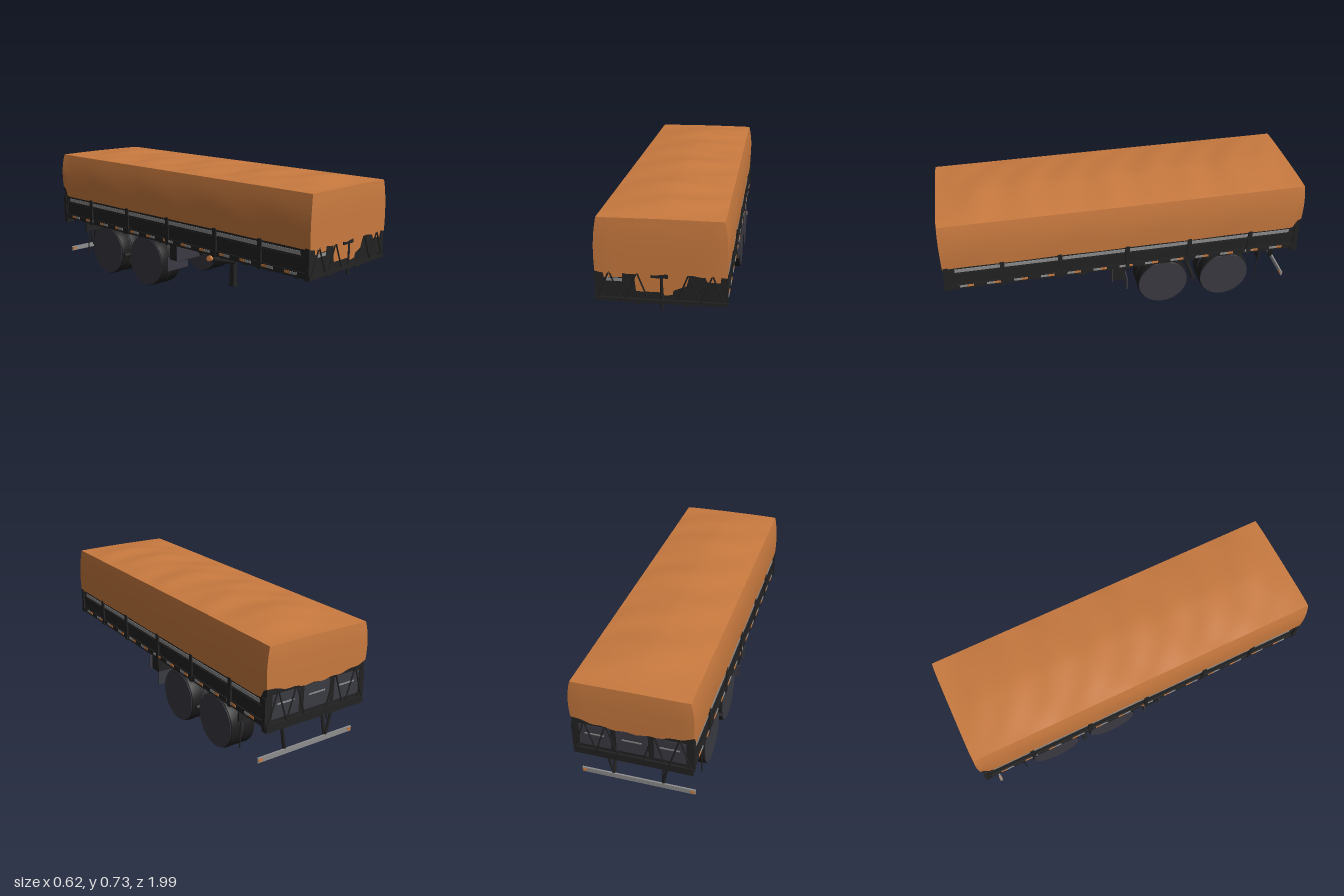
import * as THREE from 'three';
import { mergeVertices, toCreasedNormals } from 'three/addons/utils/BufferGeometryUtils.js';

const mat = (name, color, side = THREE.FrontSide) => {
  const m = new THREE.MeshStandardMaterial({ color, side });
  m.name = name;
  return m;
};

export function createModel() {
  const canvas = mat('orange canvas', 0xc97a3f, THREE.DoubleSide);
  const black = mat('black steel', 0x232323);
  const rubber = mat('tyre rubber', 0x1e1e1e);
  const slate = mat('slate grey', 0x3b3a43);
  const grey = mat('bare metal', 0x8e8e8e);
  const root = new THREE.Group();
  root.name = 'coveredTrailer';

  const add = (name, geo, m, x = 0, y = 0, z = 0, parent = root) => {
    const mesh = new THREE.Mesh(geo, m);
    mesh.name = name;
    mesh.position.set(x, y, z);
    parent.add(mesh);
    return mesh;
  };
  // box given by its limits
  const box = (name, m, x0, x1, y0, y1, z0, z1, parent = root) =>
    add(name, new THREE.BoxGeometry(x1 - x0, y1 - y0, z1 - z0), m,
      (x0 + x1) / 2, (y0 + y1) / 2, (z0 + z1) / 2, parent);
  // round bar between two points
  const bar = (name, m, a, b, r, sides = 8) => {
    const p = new THREE.Vector3(...a), q = new THREE.Vector3(...b);
    const mesh = add(name, new THREE.CylinderGeometry(r, r, p.distanceTo(q), sides), m);
    mesh.position.copy(p).lerp(q, 0.5);
    mesh.quaternion.setFromUnitVectors(new THREE.Vector3(0, 1, 0), q.sub(p).normalize());
  };
  const smooth = THREE.MathUtils.smoothstep;

  // Tarpaulin: an open-bottomed box with low ridge, leaning walls and folds
  const cover = new THREE.BoxGeometry(2, 1, 2, 24, 8, 90);
  const bottom = cover.groups[3];
  const index = Array.from(cover.index.array);
  index.splice(bottom.start, bottom.count);
  cover.setIndex(index);
  cover.clearGroups();
  cover.deleteAttribute('normal');
  cover.deleteAttribute('uv');
  const pos = cover.attributes.position;
  for (let i = 0; i < pos.count; i++) {
    const u = pos.getX(i), v = pos.getY(i) + 0.5, w = pos.getZ(i);
    const rear = smooth(-w, 0.95, 0.99);
    const hem = 0.438 + rear * (0.025 + 0.035 * u * u)
      + 0.004 * Math.sin(u * 17) * smooth(Math.abs(w), 0.97, 1);
    const inner = (1 - u ** 4) * (1 - w ** 8);
    const folds = 0.004 * Math.sin(w * 16 + u * 1.5) + 0.0025 * Math.sin(w * 27 - u * 2.4 + u * u * 3);
    const top = 0.702 + 0.025 * (1 - Math.abs(u) ** 1.5) * (0.1 + 0.9 * smooth(1 - Math.abs(w), 0, 0.25))
      + folds * inner;
    const half = 0.306 + 0.004 * Math.sin(v * Math.PI * 0.9) - 0.014 * v ** 3
      + 0.0015 * Math.sin(w * 13 + v * 4) * (1 - v);
    const length = 0.996 - 0.006 * v ** 4 - 0.004 * u ** 8;
    pos.setXYZ(i, u * half, hem + (top - hem) * v, w * length);
  }
  add('tarpaulin', toCreasedNormals(mergeVertices(cover), 0.75), canvas);

  // Load bed: floor, walls and end boards
  box('floor', black, -0.295, 0.295, 0.3, 0.325, -0.98, 0.98);
  box('frontBoard', black, -0.3, 0.3, 0.295, 0.445, 0.97, 0.985);
  box('tailgate', black, -0.3, 0.3, 0.29, 0.5, -0.985, -0.97);
  for (const s of [-1, 1]) {
    const side = new THREE.Group();
    side.name = s > 0 ? 'leftSide' : 'rightSide';
    root.add(side);
    const sideBox = (name, m, x0, x1, ...r) =>
      box(name, m, Math.min(s * x0, s * x1), Math.max(s * x0, s * x1), ...r, side);
    sideBox('sideBoard', black, 0.285, 0.3, 0.32, 0.45, -0.98, 0.98);
    sideBox('lowerRail', black, 0.27, 0.306, 0.295, 0.324, -0.99, 0.99);
    sideBox('upperRail', black, 0.29, 0.304, 0.385, 0.398, -0.97, 0.97);
    sideBox('upperStrip', grey, 0.298, 0.303, 0.406, 0.426, -0.93, 0.93);
    for (const z of [-0.975, -0.7, -0.35, 0, 0.37, 0.68, 0.975])
      sideBox('post', black, 0.285, 0.31, 0.29, 0.445, z - 0.012, z + 0.012);
    sideBox('rearCornerPost', black, 0.28, 0.303, 0.29, 0.5, -0.987, -0.955);
    for (let i = 0; i < 13; i++) {
      const z = -0.9 + i * 0.145;
      sideBox('marker', canvas, 0.305, 0.309, 0.306, 0.319, z, z + 0.035);
      sideBox('paleMarker', grey, 0.305, 0.309, 0.306, 0.319, z + 0.035, z + 0.075);
    }
  }

  // Front: loose canvas hanging below the hem, metal patch and coupling post
  const loose = [
    [[-0.125, 0.445], [-0.115, 0.348], [0.012, 0.348], [0.018, 0.333], [0.055, 0.338], [0.06, 0.36],
      [0.12, 0.385], [0.135, 0.445]],
    [[-0.27, 0.445], [-0.265, 0.41], [-0.18, 0.415], [-0.175, 0.445]],
    [[0.2, 0.445], [0.215, 0.41], [0.275, 0.408], [0.28, 0.445]],
  ];
  for (const outline of loose)
    add('looseCanvas', new THREE.ShapeGeometry(new THREE.Shape(outline.map(p => new THREE.Vector2(...p)))),
      canvas, 0, 0, 0.987);
  box('frontMetalPatch', grey, -0.255, -0.18, 0.393, 0.409, 0.985, 0.987);
  box('frontSill', black, -0.31, 0.31, 0.295, 0.312, 0.97, 0.996);
  bar('frontPost', black, [0.005, 0.265, 0.985], [0.005, 0.43, 0.985], 0.008);
  box('hosePlate', black, -0.045, 0.035, 0.42, 0.445, 0.986, 0.993);

  // Rear: panels with metal strips
  for (const x of [-0.19, 0, 0.19]) {
    box('tailgatePanel', slate, x - 0.08, x + 0.08, 0.33, 0.455, -0.988, -0.985);
    box('tailgateStrip', grey, x - 0.05, x + 0.05, 0.4, 0.408, -0.99, -0.988);
  }
  box('rearSill', black, -0.305, 0.305, 0.27, 0.31, -0.995, -0.96);

  // Lashing ropes in V shapes on both ends
  for (const z of [-0.992, 0.992])
    for (const x of [-0.24, -0.11, 0.13, 0.24])
      for (const d of [-0.055, 0.055])
        bar('lashing', black, [x, z < 0 ? 0.48 : 0.445, z], [x + d, 0.305, z], 0.004, 5);

  // Chassis beams and cross members
  for (const s of [-1, 1]) {
    const beam = (name, x, half, ...r) => box(name, black, s * x - half, s * x + half, ...r);
    beam('chassisBeam', 0.115, 0.015, 0.255, 0.3, -0.97, 0.62);
    beam('rearBeam', 0.115, 0.015, 0.215, 0.26, -0.72, 0.1);
    beam('neckBeam', 0.115, 0.015, 0.275, 0.3, 0.6, 0.97);
    beam('equipmentBox', 0.225, 0.07, 0.205, 0.295, 0.01, 0.08);
  }
  for (let i = 0; i < 12; i++) {
    const z = -0.9 + i * 0.163;
    box('crossMember', black, -0.285, 0.285, 0.282, 0.302, z - 0.01, z + 0.01);
  }
  box('couplingPlate', black, -0.13, 0.13, 0.275, 0.285, 0.55, 0.85);
  bar('kingpin', black, [0, 0.26, 0.7], [0, 0.28, 0.7], 0.02, 12);

  // Landing leg and drawn-up strut
  box('landingLeg', black, -0.015, 0.015, 0.04, 0.25, 0.205, 0.235);
  box('legHousing', black, -0.035, 0.035, 0.2, 0.28, 0.195, 0.245);
  box('legFoot', black, -0.018, 0.018, 0.033, 0.045, 0.2, 0.24);
  bar('strut', black, [-0.21, 0.24, 0.25], [-0.03, 0.19, 0.25], 0.016);
  bar('strutEnd', canvas, [-0.23, 0.245, 0.25], [-0.21, 0.24, 0.25], 0.0155);

  // Wheels: lathe tyre with a broad slate disc on both faces
  const tyreProfile = [[0.1, -0.036], [0.138, -0.036], [0.144, -0.03], [0.146, -0.015],
    [0.146, 0.015], [0.144, 0.03], [0.138, 0.036], [0.1, 0.036]].map(p => new THREE.Vector2(...p));
  const tyreGeo = toCreasedNormals(new THREE.LatheGeometry(tyreProfile, 36), 0.6);
  const discGeo = new THREE.CylinderGeometry(0.14, 0.14, 0.0735, 36);
  const wheel = (name, x, y, z) => {
    const g = new THREE.Group();
    g.name = name;
    g.position.set(x, y, z);
    root.add(g);
    add('tyre', tyreGeo, rubber, 0, 0, 0, g);
    add('disc', discGeo, slate, 0, 0, 0, g);
    return g;
  };
  for (const z of [-0.21, -0.57]) {
    for (const x of [-0.252, -0.175, 0.189, 0.266]) wheel('wheel', x, 0.152, z).rotation.z = Math.PI / 2;
    bar('axle', black, [-0.22, 0.165, z], [0.22, 0.165, z], 0.022, 12);
    for (const s of [-1, 1]) {
      const spring = new THREE.QuadraticBezierCurve3(
        new THREE.Vector3(s * 0.115, 0.19, z - 0.16),
        new THREE.Vector3(s * 0.115, 0.14, z),
        new THREE.Vector3(s * 0.115, 0.19, z + 0.16));
      add('leafSpring', new THREE.TubeGeometry(spring, 12, 0.013, 6), black);
      for (const d of [-0.16, 0.16])
        box('springHanger', black, s * 0.115 - 0.015, s * 0.115 + 0.015, 0.17, 0.23, z + d - 0.02, z + d + 0.02);
    }
  }
  wheel('spareWheel', 0, 0.27, -0.82).scale.set(0.82, 0.6, 0.82);
  bar('equalizerBar', black, [-0.3, 0.15, -0.39], [0.3, 0.15, -0.39], 0.012);
  box('suspensionBridge', black, -0.13, 0.13, 0.2, 0.26, -0.42, -0.36);
  bar('airTank', black, [-0.09, 0.23, -0.02], [0.09, 0.23, -0.02], 0.035, 16);

  // Mudguards, flaps and brackets
  for (const s of [-1, 1]) {
    const x = s * 0.226;
    box('frontMudguard', slate, x - 0.085, x + 0.085, 0.21, 0.295, 0.081, 0.087);
    box('frontFlap', slate, x - 0.077, x + 0.077, 0.135, 0.212, -0.005, 0.002);
    box('rearFlapBracket', black, x - 0.075, x + 0.075, 0.235, 0.29, -0.775, -0.765);
    bar('rearFlapStay', black, [s * 0.285, 0.25, -0.77], [s * 0.285, 0.08, -0.765], 0.004, 6);
    // Rear bumper brackets
    bar('bumperBracket', black, [s * 0.13, 0.29, -0.88], [s * 0.13, 0.1, -0.92], 0.009);
    bar('bumperBrace', black, [s * 0.17, 0.29, -0.93], [s * 0.13, 0.1, -0.925], 0.008);
    // Bumper end reflectors
    box('bumperMarker', canvas, s * 0.285 - 0.012, s * 0.285 + 0.012, 0.09, 0.105, -0.938, -0.923);
  }
  box('rearBumper', grey, -0.3, 0.3, 0.083, 0.11, -0.935, -0.926);

  return root;
}
